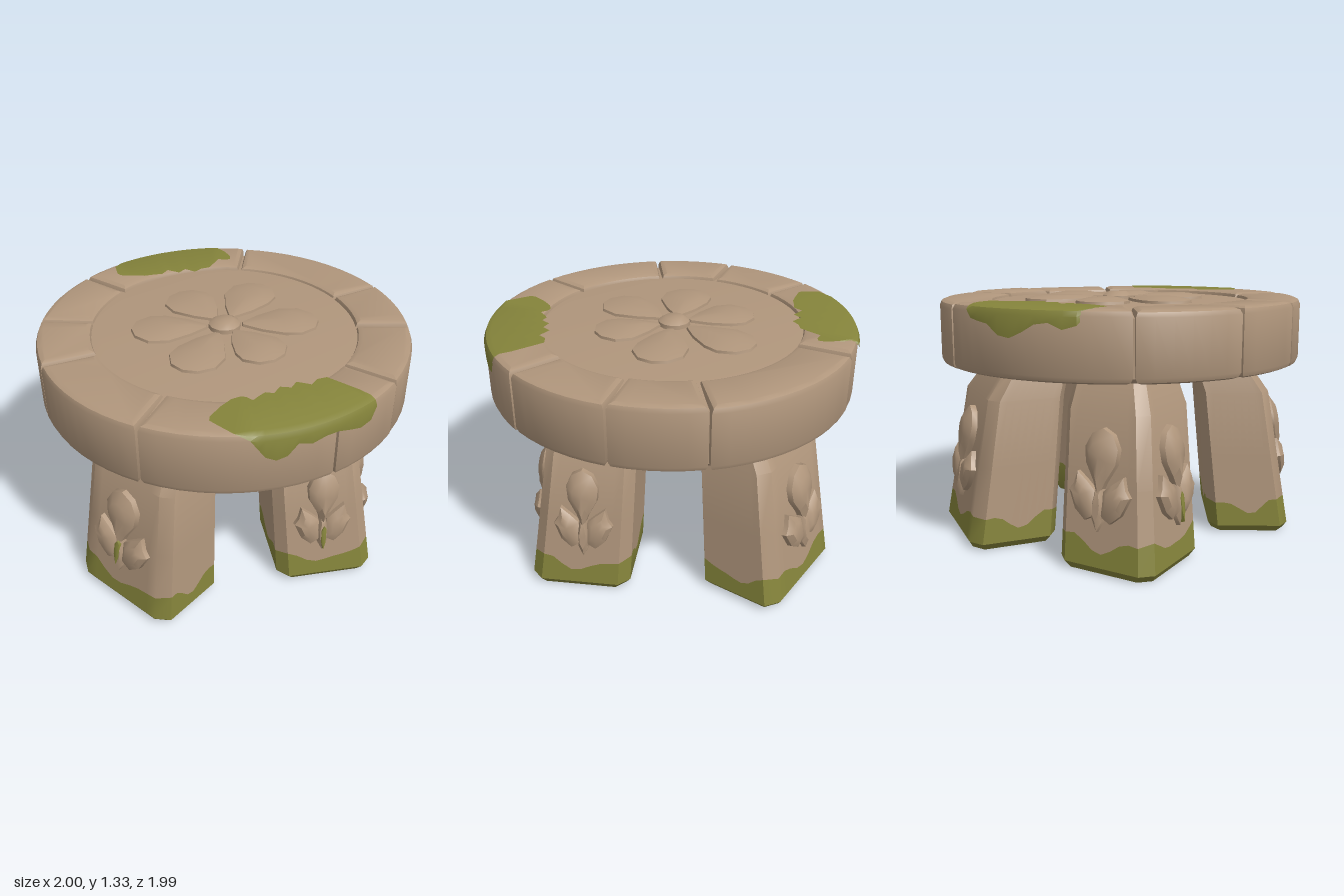
import * as THREE from 'three';
import { toCreasedNormals } from 'three/addons/utils/BufferGeometryUtils.js';

const stone = new THREE.MeshStandardMaterial({ color: 0xb0967c });
stone.name = 'stone';
const moss = new THREE.MeshStandardMaterial({ color: 0x85843b, side: THREE.DoubleSide });
moss.name = 'moss';

let seed = 7;
const jitter = (a) => {
  seed = (seed * 16807) % 2147483647;
  return (seed / 2147483647 - 0.5) * 2 * a;
};
const rad = THREE.MathUtils.degToRad;

function addMesh(parent, name, geometry, material) {
  const mesh = new THREE.Mesh(geometry, material);
  mesh.name = name;
  parent.add(mesh);
  return mesh;
}

// Skin between rings of points; the ends may be closed with a fan.
function loft(rings, { capStart = false, capEnd = false, closed = true, crease = 0.6 } = {}) {
  const n = rings[0].length;
  const points = rings.flat();
  const index = [];
  for (let r = 0; r < rings.length - 1; r++) {
    for (let i = 0; i < (closed ? n : n - 1); i++) {
      const j = (i + 1) % n;
      const a = r * n + i, b = r * n + j, c = b + n, d = a + n;
      index.push(a, b, c, a, c, d);
    }
  }
  const cap = (ring, start, flip) => {
    const mid = ring.reduce((s, p) => s.add(p), new THREE.Vector3()).divideScalar(n);
    const m = points.push(mid) - 1;
    for (let i = 0; i < n; i++) {
      const j = (i + 1) % n;
      if (flip) index.push(m, start + j, start + i);
      else index.push(m, start + i, start + j);
    }
  };
  if (capStart) cap(rings[0], 0, true);
  if (capEnd) cap(rings[rings.length - 1], (rings.length - 1) * n, false);
  const g = new THREE.BufferGeometry().setFromPoints(points);
  g.setIndex(index);
  return toCreasedNormals(g, crease);
}

// Carved cushion: an anticlockwise outline swelling up along +z.
function pad(outline, height) {
  const n = outline.length;
  const cx = outline.reduce((s, p) => s + p[0], 0) / n;
  const cy = outline.reduce((s, p) => s + p[1], 0) / n;
  const ring = (s, z) => outline.map(([x, y]) =>
    new THREE.Vector3(cx + (x - cx) * s, cy + (y - cy) * s, z));
  return loft([ring(1, -0.02), ring(0.95, height * 0.5), ring(0.55, height)], { capEnd: true, crease: 0.7 });
}

// Rim stones, cut at uneven angles
const joints = [-80.6, -53, -19.5, 6, 61, 104, 131, 163, 225, 279.4];

function rimStone(a0, a1) {
  const shape = new THREE.Shape();
  const gap = 0.006, inner = 0.705;
  const outer = 0.994 + jitter(0.004);
  const steps = Math.ceil((a1 - a0) / 6);
  const arc = (r, k) => {
    const inset = gap / r;
    const t = THREE.MathUtils.lerp(rad(a0) + inset, rad(a1) - inset, k / steps);
    return [r * Math.cos(t), r * Math.sin(t)];
  };
  shape.moveTo(...arc(outer, 0));
  for (let k = 1; k <= steps; k++) shape.lineTo(...arc(outer, k));
  for (let k = steps; k >= 0; k--) shape.lineTo(...arc(inner, k));
  const bevel = 0.032;
  const top = 1.312 + jitter(0.004);
  const g = new THREE.ExtrudeGeometry(shape, {
    depth: top - 0.968 - 2 * bevel, bevelEnabled: true, bevelSegments: 2,
    bevelSize: bevel, bevelThickness: bevel, bevelOffset: -bevel,
  });
  g.rotateX(Math.PI / 2).translate(0, top - bevel, 0);
  return toCreasedNormals(g, 0.5);
}

// Moss draped over the rim; rows are [angle, inner radius, lowest y, outer radius on top]
function rimMoss(rows) {
  const strips = rows.map(([a, inner, low, outer = 2]) => {
    const c = Math.cos(rad(a)), s = Math.sin(rad(a));
    return [[inner, 1.318], [0.962, 1.318], [0.99, 1.306], [1.002, Math.max(low, 1.28)], [1.002, low]]
      .map(([r, y]) => (r > outer ? [outer, 1.318] : [r, y]))
      .map(([r, y]) => new THREE.Vector3(r * c, y, r * s));
  });
  return loft(strips, { closed: false });
}

// Leg cross-section: chamfered rectangle in unit coordinates
const PER_SIDE = 9;
const section = (() => {
  const c = 0.78, pts = [];
  const sides = [[1, -c, 1, c], [c, 1, -c, 1], [-1, c, -1, -c], [-c, -1, c, -1]];
  for (const [x0, y0, x1, y1] of sides)
    for (let k = 0; k < PER_SIDE; k++) {
      const t = k / (PER_SIDE - 1);
      pts.push([x0 + (x1 - x0) * t, y0 + (y1 - y0) * t]);
    }
  return pts;
})();

// Rows: height, size, inward lean
const legKeys = [[0.012, 0.9, 0], [0.05, 0.99, 0], [0.8, 0.87, 0.1], [1.0, 0.69, 0.2]];
function legAt(y) {
  let k = 0;
  while (k < legKeys.length - 2 && y > legKeys[k + 1][0]) k++;
  const [y0, s0, l0] = legKeys[k], [y1, s1, l1] = legKeys[k + 1];
  const t = (y - y0) / (y1 - y0);
  return { size: s0 + (s1 - s0) * t, lean: l0 + (l1 - l0) * t };
}

// Carved bud with two side leaves
const bud = [[0, -0.04], [0.04, 0.05], [0.1, 0.14], [0.11, 0.22], [0.07, 0.29], [0, 0.32],
  [-0.07, 0.29], [-0.11, 0.22], [-0.1, 0.14], [-0.04, 0.05]];
const sideLeaf = [[0.015, -0.12], [0.08, -0.15], [0.15, -0.1], [0.2, -0.005], [0.17, 0.03], [0.15, 0.095], [0.08, 0.05], [0.025, 0.01]];
const stem = [[0, -0.2], [0.035, -0.14], [0.04, -0.05], [0.02, 0.04], [-0.02, 0.04], [-0.04, -0.05], [-0.035, -0.14]];
const streak = [[0, -0.14], [0.016, -0.09], [0.02, 0], [0.005, 0.02], [-0.014, -0.01], [-0.016, -0.08]];

// A streak of moss, where there is one, lies mossDrop below the usual place
function carving(mossDrop) {
  const g = new THREE.Group();
  g.name = 'budCarving';
  addMesh(g, 'bud', pad(bud, 0.06), stone);
  addMesh(g, 'leftLeaf', pad(sideLeaf, 0.05), stone);
  addMesh(g, 'rightLeaf', pad(sideLeaf.map(([x, y]) => [-x, y]).reverse(), 0.05), stone);
  addMesh(g, 'stem', pad(stem, 0.045), stone);
  if (mossDrop !== undefined)
    addMesh(g, 'mossStreak', pad(streak, 0.008), moss).position.set(0, -mossDrop, 0.046);
  return g;
}

function leg({ name, x, z, face, depth, width, carvings, scale }) {
  const g = new THREE.Group();
  g.name = name;
  const phi = rad(face), r = Math.hypot(x, z);
  const phase = jitter(3);
  const center = (y) => {
    const k = 1 - legAt(y).lean / r;
    return new THREE.Vector3(x * k, y, z * k);
  };
  const point = ([p, q], y) => {
    const s = legAt(y).size;
    const a = p * depth * s, b = q * width * s;
    return center(y).add(new THREE.Vector3(
      Math.cos(phi) * a + Math.sin(phi) * b, 0, Math.sin(phi) * a - Math.cos(phi) * b));
  };
  const ring = (y) => section.map((p) => point(p, y));
  // Moss climbs at the corners and dips in the middle of each face
  const mossLine = section.map((p, i) => {
    const dip = Math.sin(Math.PI * (i % PER_SIDE) / (PER_SIDE - 1)) ** 2;
    return point(p, 0.195 - 0.065 * dip + 0.014 * Math.sin(i * 1.3 + phase));
  });
  addMesh(g, 'mossyFoot', loft([ring(0.012), ring(0.05), mossLine], { capStart: true }), moss);
  addMesh(g, 'shaft', loft([mossLine, ring(0.45), ring(0.8), ring(1.0)]), stone);

  for (const [turn, mossDrop] of carvings) {
    const a = phi + rad(turn);
    const n = new THREE.Vector3(Math.cos(a), 0, Math.sin(a));
    const half = turn % 180 ? width : depth;
    const reach = (y) => center(y).dot(n) + half * legAt(y).size;
    const c = carving(mossDrop);
    c.position.copy(center(0.42)).addScaledVector(n, half * legAt(0.42).size);
    c.rotation.set(-Math.atan((reach(0.1) - reach(0.75)) / 0.65), Math.atan2(n.x, n.z), 0, 'YXZ');
    c.scale.set(scale, 1, 1);
    g.add(c);
  }
  return g;
}

export function createModel() {
  const model = new THREE.Group();
  model.name = 'stoneTable';

  // Table top
  const top = new THREE.Group();
  top.name = 'tableTop';
  model.add(top);
  const profile = [[0, 0.967], [0.93, 0.967], [0.955, 0.99], [0.955, 1.27], [0.74, 1.285], [0.66, 1.293], [0, 1.293]]
    .map(([r, y]) => new THREE.Vector2(r, y));
  addMesh(top, 'centreSlab', toCreasedNormals(new THREE.LatheGeometry(profile, 48), 0.5), stone);
  for (let i = 0; i < joints.length - 1; i++)
    addMesh(top, 'rimStone', rimStone(joints[i], joints[i + 1]), stone);

  // Six-petal flower relief
  const flower = new THREE.Group();
  flower.name = 'flowerRelief';
  flower.position.set(-0.01, 1.292, -0.01);
  flower.rotation.x = -Math.PI / 2;
  top.add(flower);
  const petal = [[0.015, 0.08], [0.085, 0.17], [0.14, 0.28], [0.15, 0.36], [0.1, 0.44], [0.02, 0.47],
    [-0.06, 0.455], [-0.13, 0.39], [-0.14, 0.29], [-0.08, 0.17], [-0.015, 0.08]];
  for (let k = 0; k < 6; k++) {
    const p = addMesh(flower, 'petal', pad(petal, 0.03), stone);
    p.rotation.z = rad(30 + 60 * k);
    p.scale.y = [1.13, 0.99, 1.08, 1.08, 0.95, 1.1][k];
  }
  const disc = Array.from({ length: 12 }, (_, i) =>
    [0.09 * Math.cos(i * Math.PI / 6), 0.09 * Math.sin(i * Math.PI / 6)]);
  addMesh(flower, 'flowerCentre', pad(disc, 0.046), stone);

  // Moss patches on the rim
  addMesh(top, 'leftMoss', rimMoss([
    [-8, 0.9, 1.27], [-6, 0.72, 1.21], [-2, 0.7, 1.2], [2, 0.72, 1.22], [6, 0.66, 1.24], [10, 0.69, 1.24],
    [14, 0.66, 1.22], [18, 0.7, 1.24], [21, 0.68, 1.18], [24, 0.7, 1.165], [27, 0.73, 1.19], [29, 0.7, 1.24],
    [31, 0.69, 1.29], [35, 0.71, 1.31, 0.98], [39, 0.77, 1.31, 0.92], [42, 0.85, 1.31, 0.88]]), moss);
  addMesh(top, 'rightMoss', rimMoss([
    [171, 0.84, 1.31, 0.87], [174, 0.79, 1.31, 0.95], [178, 0.74, 1.24], [182, 0.72, 1.22], [186, 0.7, 1.25],
    [190, 0.73, 1.24], [194, 0.67, 1.2], [198, 0.7, 1.17], [202, 0.65, 1.18], [206, 0.68, 1.23],
    [210, 0.69, 1.24], [213, 0.75, 1.25], [215, 0.8, 1.29], [218, 0.79, 1.31, 0.9], [220, 0.8, 1.31, 0.84]]), moss);

  // Four leaning legs; two face outward and two stand corner-out
  const legs = [
    { name: 'frontLeg', x: 0.21, z: 0.7, face: 78, depth: 0.225, width: 0.34, scale: 1, carvings: [[0, 0]] },
    { name: 'backLeg', x: -0.35, z: -0.62, face: 234, depth: 0.24, width: 0.355, scale: 1, carvings: [[0]] },
    { name: 'rightLeg', x: -0.65, z: 0.2, face: 108, depth: 0.275, width: 0.275, scale: 0.88, carvings: [[0, 0.04], [90]] },
    { name: 'leftLeg', x: 0.575, z: -0.22, face: 27, depth: 0.275, width: 0.275, scale: 0.8, carvings: [[0, 0.04], [-90]] },
  ];
  for (const spec of legs) model.add(leg(spec));
  return model;
}
